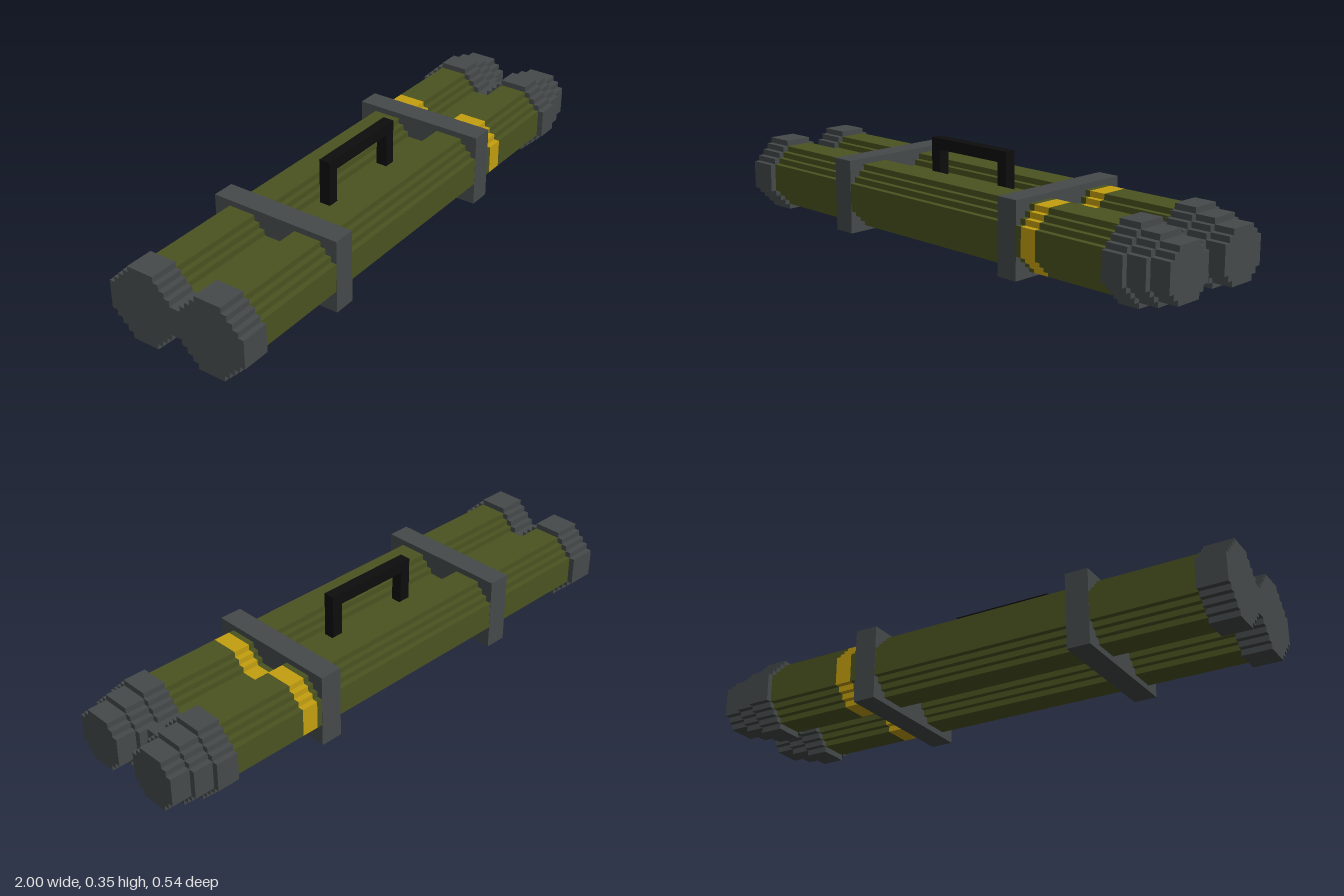
import * as THREE from 'three';

const U = 2 / 96; // one step of the blocky grid
const MID = 6.5; // height of the tube axis, and its distance from the centre line

const material = (name, color) => {
  const m = new THREE.MeshStandardMaterial({ color });
  m.name = name;
  return m;
};

// Stepped octagon: flat sides 5 units long, corners cut in one-unit stairs
function steppedShape(width) {
  const half = width / 2;
  const quarter = [];
  for (let x = half, y = 2.5; x > 2.5; x--, y++) quarter.push([x, y], [x - 1, y]);
  quarter.push([2.5, half]);
  const points = [];
  for (let q = 0; q < 4; q++) {
    for (const [x, y] of quarter) {
      const p = new THREE.Vector2(x * U, y * U);
      points.push(p.rotateAround(new THREE.Vector2(), q * Math.PI / 2));
    }
  }
  return new THREE.Shape(points);
}

export function createModel() {
  const model = new THREE.Group();
  model.name = 'twinTubeCase';
  const olive = material('olive green', 0x4b5320);
  const grey = material('dark grey', 0x454a4a);
  const yellow = material('marking yellow', 0xc4a010);
  const black = material('handle black', 0x0d0d0d);

  // Box given by its limits in grid units
  function box(name, mat, x0, x1, y0, y1, halfZ) {
    const geo = new THREE.BoxGeometry((x1 - x0) * U, (y1 - y0) * U, 2 * halfZ * U);
    const mesh = new THREE.Mesh(geo, mat);
    mesh.name = name;
    mesh.position.set((x0 + x1) / 2 * U, (y0 + y1) / 2 * U, 0);
    model.add(mesh);
  }

  // Sections along each tube: name, material, start, end, width
  const sections = [
    ['rearCap', grey, -48, -43, 13],
    ['tubeBody', olive, -43, 20, 11],
    ['markingBand', yellow, 20, 23, 11],
    ['tubeFront', olive, 23, 37, 11],
    ['frontCap', grey, 37, 41, 13],
    ['frontCapStep', grey, 41, 44.5, 11],
    ['frontCapTip', grey, 44.5, 48, 9],
  ];
  for (const side of [-1, 1]) {
    const tube = new THREE.Group();
    tube.name = side > 0 ? 'frontTube' : 'backTube';
    tube.position.set(0, MID * U, side * MID * U);
    for (const [name, mat, start, end, width] of sections) {
      const geo = new THREE.ExtrudeGeometry(steppedShape(width), {
        depth: (end - start) * U, bevelEnabled: false,
      });
      geo.rotateY(Math.PI / 2);
      const mesh = new THREE.Mesh(geo, mat);
      mesh.name = name;
      mesh.position.x = start * U;
      tube.add(mesh);
    }
    model.add(tube);
  }

  // Web joining the tubes
  box('webRear', olive, -43, 20, 4, 9, 1);
  box('webBand', yellow, 20, 23, 4, 9, 1);
  box('webFront', olive, 23, 37, 4, 9, 1);
  box('webCap', grey, 41, 43, 4, 9, 1);

  // Clamps around both tubes
  box('rearClamp', grey, -25, -21, 0, 13, 12.04);
  box('frontClamp', grey, 15, 19, 0, 13, 12.04);

  // Carrying handle
  box('handleBar', black, -12, 6, 15, 17, 1);
  box('handleRearLeg', black, -12, -10, 9, 15, 1);
  box('handleFrontLeg', black, 4, 6, 9, 15, 1);

  return model;
}
